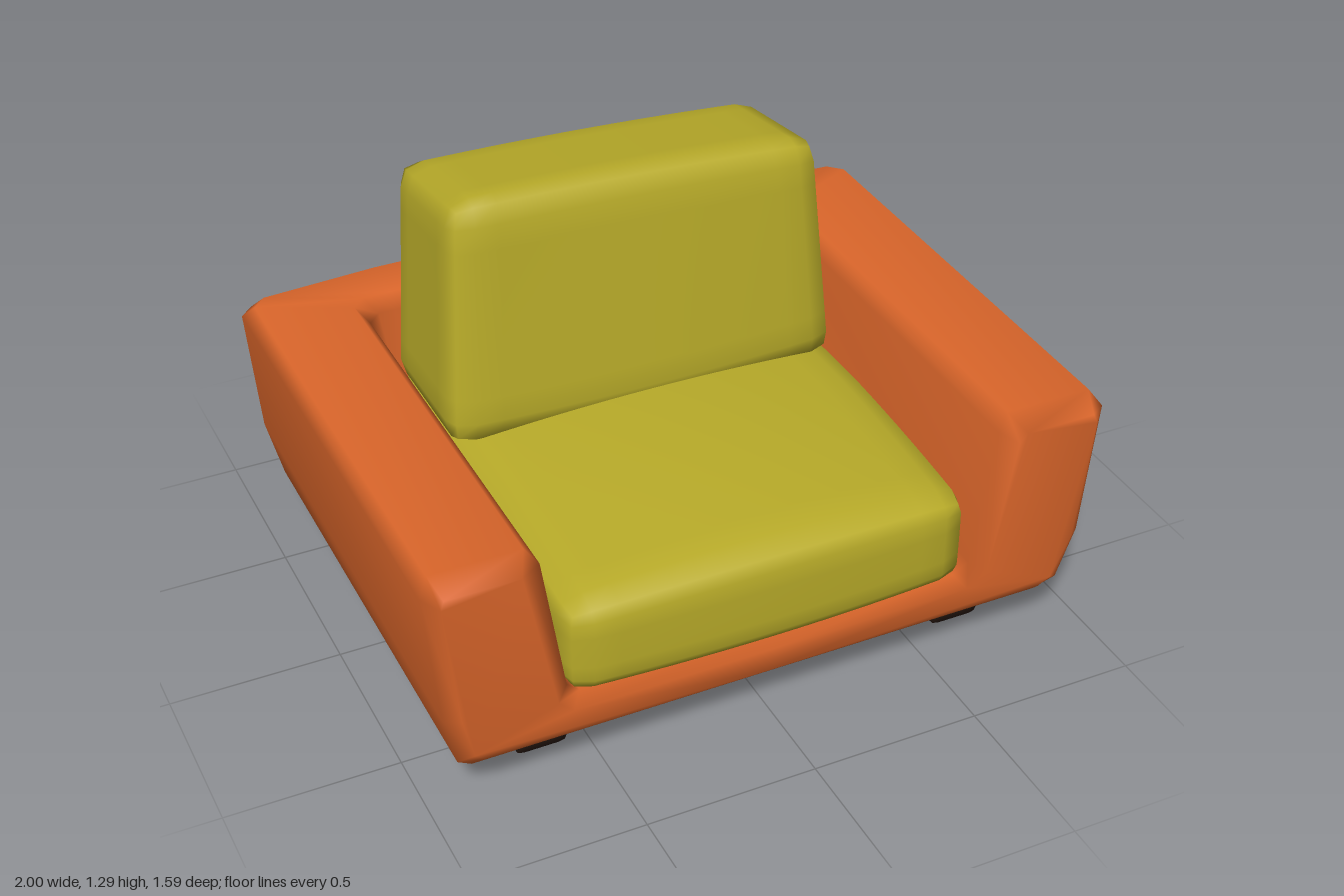
import * as THREE from 'three';
import { mergeVertices } from 'three/addons/utils/BufferGeometryUtils.js';

const ORANGE = new THREE.MeshStandardMaterial({ color: 0xd9652a });
const OLIVE = new THREE.MeshStandardMaterial({ color: 0xb8ab29 });
const DARK = new THREE.MeshStandardMaterial({ color: 0x2a1a12 });

// Shares vertices so that shading runs smoothly over the rounded edges
function smooth(geometry) {
  geometry.deleteAttribute('normal');
  geometry.deleteAttribute('uv');
  const g = mergeVertices(geometry, 1e-4);
  g.computeVertexNormals();
  return g;
}

function mesh(name, geometry, material) {
  const m = new THREE.Mesh(geometry, material);
  m.name = name;
  return m;
}

// Box with rounded edges whose points are then moved by warp(p, u, v, w), u v w in -1..1
function softBox(w, h, d, r, seg, warp) {
  const g = new THREE.BoxGeometry(w, h, d, ...seg);
  const pos = g.attributes.position;
  const p = new THREE.Vector3();
  const inner = new THREE.Vector3(w / 2 - r, h / 2 - r, d / 2 - r);
  const low = inner.clone().negate();
  for (let i = 0; i < pos.count; i++) {
    p.fromBufferAttribute(pos, i);
    const core = p.clone().clamp(low, inner);
    p.sub(core).setLength(r).add(core);
    warp(p, (2 * p.x) / w, (2 * p.y) / h, (2 * p.z) / d);
    pos.setXYZ(i, p.x, p.y, p.z);
  }
  return smooth(g);
}

// Arms, back and base in one shell: a half profile swept round a U-shaped path
function frameGeometry() {
  // x, y, back depth, front z, then x, y, z on the inset front face
  const profile = [
    [0, 0.11, 0, 0.7, 0, 0.16, 0.75],
    [0.87, 0.11, 0.72, 0.7, 0.85, 0.16, 0.75],
    [0.92, 0.16, 0.77, 0.73, 0.88, 0.19, 0.76],
    [0.96, 0.33, 0.8, 0.75, 0.92, 0.34, 0.785],
    [1.0, 0.74, 0.77, 0.75, 0.96, 0.72, 0.79],
    [0.97, 0.785, 0.73, 0.72, 0.95, 0.745, 0.785],
    [0.71, 0.785, 0.58, 0.72, 0.74, 0.745, 0.785],
    [0.675, 0.74, 0.55, 0.74, 0.715, 0.72, 0.785],
    [0.61, 0.32, 0.53, 0.74, 0.65, 0.3, 0.78],
    [0.57, 0.28, 0.5, 0.73, 0.6, 0.245, 0.765],
    [0, 0.28, 0, 0.73, 0, 0.245, 0.765],
  ];
  const c = 0.04;
  const half = [[], [], [], [], []];
  profile.forEach(([x, y, zb, zf, cx, cy, cz], j) => {
    const bow = j > 1 && j < 6 ? 0.025 : 0;
    const xb = Math.max(0, x - c);
    half[0].push([cx, cy, cz]);
    half[1].push([x, y, zf]);
    half[2].push([x, y, -zb + bow + c]);
    half[3].push([xb, y, -zb + bow]);
    half[4].push([Math.min(0.58, xb), y, -zb]);
  });
  const mirrored = half.map((s) => s.map(([x, y, z]) => [-x, y, z])).reverse();
  const stations = [...half, ...mirrored];
  const n = profile.length;
  const index = [];
  for (let s = 0; s < stations.length - 1; s++) {
    for (let j = 0; j < n - 1; j++) {
      const a = s * n + j, b = a + n;
      index.push(a, b, a + 1, b, b + 1, a + 1);
    }
  }
  // Front face, both halves
  const outline = half[0].map(([x, y]) => new THREE.Vector2(x, y));
  const last = (stations.length - 1) * n;
  for (const [a, b, d] of THREE.ShapeUtils.triangulateShape(outline, [])) {
    index.push(a, b, d, last + a, last + d, last + b);
  }
  const g = new THREE.BufferGeometry();
  g.setAttribute('position', new THREE.Float32BufferAttribute(stations.flat(2), 3));
  g.setIndex(index);
  return smooth(g);
}

export function createModel() {
  const group = new THREE.Group();
  group.add(mesh('frame', frameGeometry(), ORANGE));

  // Seat cushion with a crowned top and a slightly bulging front
  const seat = softBox(1.2, 0.28, 1.29, 0.06, [16, 6, 16], (p, u, v, w) => {
    const dome = 1 - u * u;
    if (v > 0) p.y += 0.055 * v * dome * (1 - 0.5 * w * w);
    p.x += 0.02 * (1 - w * w) * Math.max(0, u);
    p.x -= 0.015 * Math.max(0, w);
    if (w > 0) p.z += 0.025 * w * dome;
    p.y += 0.42;
    p.z += 0.12;
  });
  group.add(mesh('seatCushion', seat, OLIVE));

  // Back cushion: narrower and thinner at the top, sloping back and to one side
  const back = softBox(1.22, 0.7, 0.48, 0.06, [16, 10, 8], (p, u, v, w) => {
    const t = (v + 1) / 2;
    const front = THREE.MathUtils.lerp(-0.015, -0.1, t) - 0.03 * u * u * (1 - t);
    const rear = THREE.MathUtils.lerp(-0.52, -0.55, t);
    p.z = THREE.MathUtils.lerp(rear, front, (w + 1) / 2);
    p.x *= 1 - 0.085 * t;
    p.y += 0.905 + t * (0.035 * w - 0.022 * u - 0.012) + 0.012 * t * (1 - u * u);
  });
  group.add(mesh('backCushion', back, OLIVE));

  // Four tapered feet
  for (const x of [-0.635, 0.665]) {
    for (const z of [0.5, -0.5]) {
      const foot = softBox(0.19, 0.16, 0.29, 0.022, [6, 4, 6], (p, u, v) => {
        const taper = 0.9 + 0.1 * v;
        p.set(p.x * taper + x, p.y + 0.08, p.z * taper + z);
      });
      group.add(mesh('foot', foot, DARK));
    }
  }
  return group;
}
